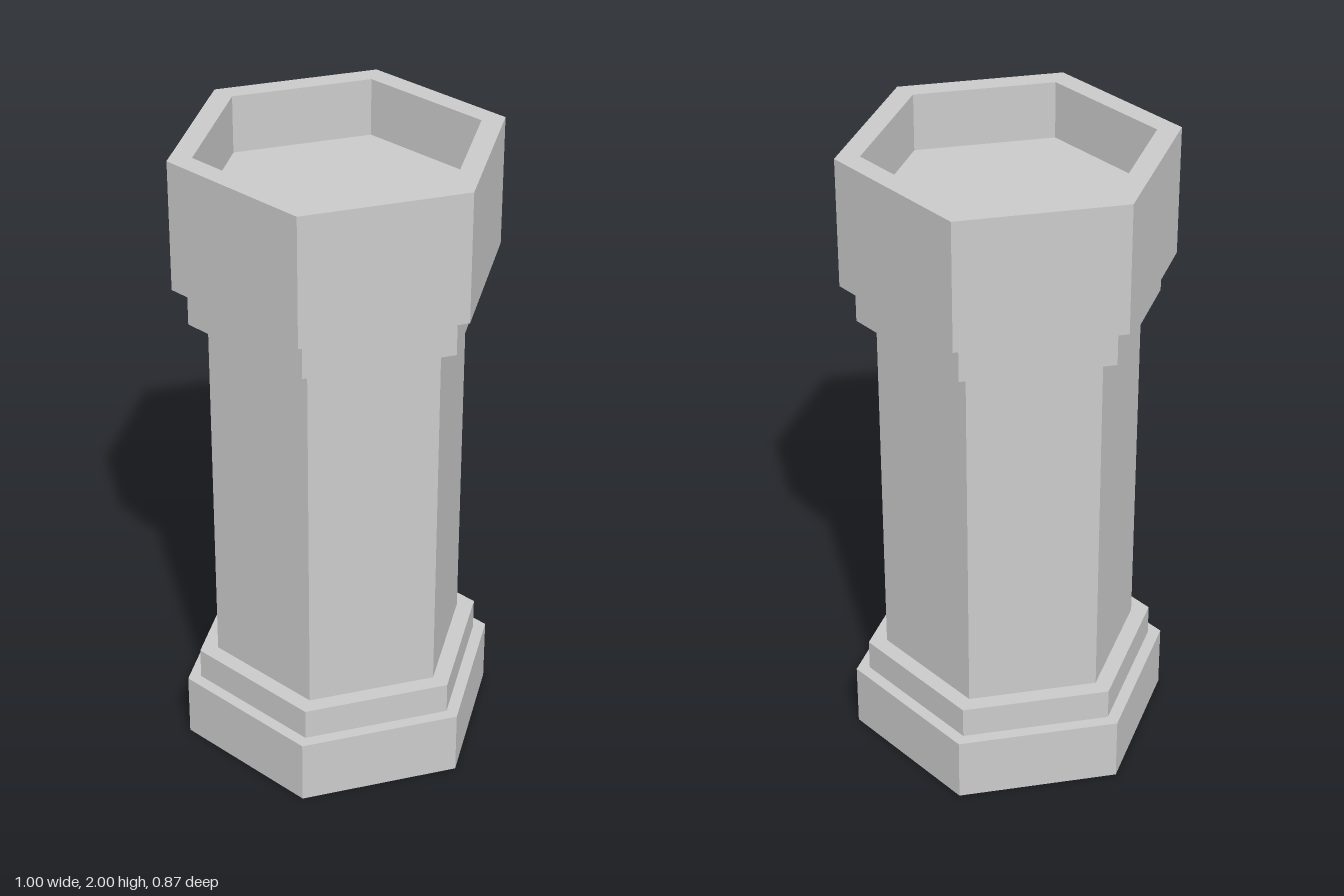
import * as THREE from 'three';

const material = new THREE.MeshStandardMaterial({ color: 0xcccccc, flatShading: true });

// Six-sided solid turned from a [radius, y] profile, with corners on the x axis
function hexPart(name, profile) {
  const points = profile.map(([r, y]) => new THREE.Vector2(r, y));
  const geometry = new THREE.LatheGeometry(points, 6, Math.PI / 2).toNonIndexed();
  geometry.computeVertexNormals();
  const mesh = new THREE.Mesh(geometry, material);
  mesh.name = name;
  return mesh;
}

// Closed hexagonal prism between two heights
const prism = (name, r, y0, y1) => hexPart(name, [[0, y0], [r, y0], [r, y1], [0, y1]]);

export function createModel() {
  const tower = new THREE.Group();
  tower.name = 'hexagonalTower';
  tower.add(
    prism('base', 0.497, 0, 0.205),
    prism('lowerCollar', 0.455, 0.205, 0.305),
    prism('shaft', 0.397, 0.305, 1.475),
    prism('upperCollar', 0.455, 1.475, 1.595),
    // Cap with a raised rim around a sunken floor
    hexPart('cap', [[0, 1.595], [0.5, 1.595], [0.5, 2], [0.427, 2], [0.427, 1.82], [0, 1.82]]),
  );
  return tower;
}
